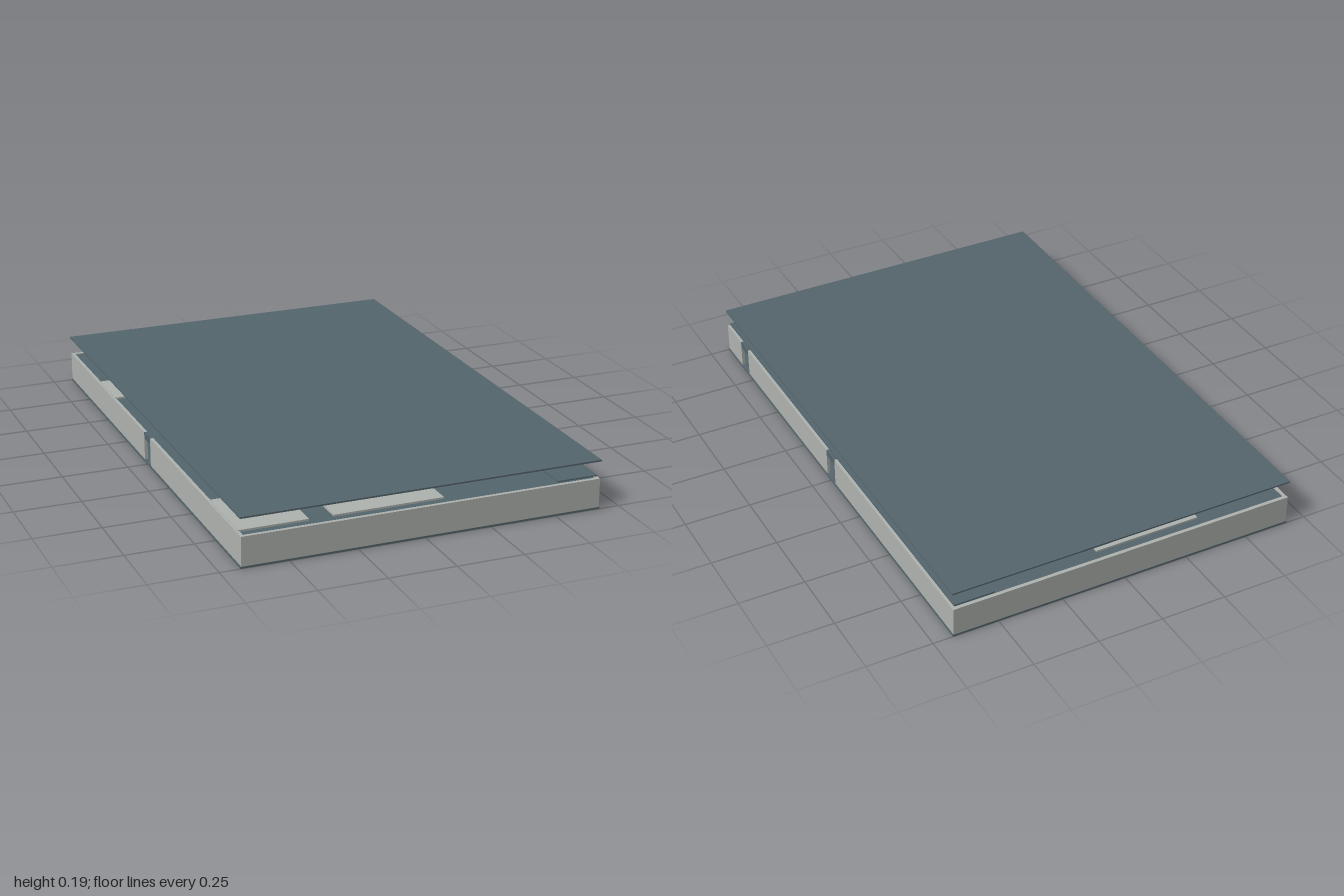
import * as THREE from 'three';

export function createModel() {
  const model = new THREE.Group();
  const slate = new THREE.MeshStandardMaterial({ color: 0x55666d });
  slate.name = 'slate slab';
  const concrete = new THREE.MeshStandardMaterial({ color: 0xb0b4b0 });
  concrete.name = 'concrete wall';

  // Box given by its lower and upper corners
  function box(name, mat, x0, x1, y0, y1, z0, z1) {
    const mesh = new THREE.Mesh(new THREE.BoxGeometry(x1 - x0, y1 - y0, z1 - z0), mat);
    mesh.position.set((x0 + x1) / 2, (y0 + y1) / 2, (z0 + z1) / 2);
    mesh.name = name;
    model.add(mesh);
    return mesh;
  }

  const W = 0.675, L = 1, T = 0.015, wallTop = 0.115;

  // Full-size slabs
  box('groundSlab', slate, -W, W, 0, 0.007, -L, L);
  box('upperFloor', slate, -W + T, W - T, 0.104, 0.111, -L + T, L - T);
  box('roof', slate, -W, W, 0.18, 0.186, -L, L);

  // Plain end walls
  box('frontWall', concrete, -W + 0.003, W - 0.003, 0.007, wallTop, L - T, L - 0.001);
  box('backWall', concrete, -W + 0.003, W - 0.003, 0.007, wallTop, -L + 0.001, -L + T);

  // Side walls, broken by doorways with slate lintels
  function sideWall(name, side, doors) {
    const xs = [side * (W - T), side * (W - 0.003)].sort((a, b) => a - b);
    let z = -L + T;
    for (const [a, b] of doors) {
      box(name, concrete, ...xs, 0.007, wallTop, z, a);
      box('doorLintel', slate, ...xs, 0.09, wallTop, a, b);
      z = b;
    }
    box(name, concrete, ...xs, 0.007, wallTop, z, L - T);
  }
  sideWall('rightWall', 1, [[-0.035, 0.035], [0.79, 0.86]]);
  sideWall('leftWall', -1, [[-0.035, 0.035]]);

  // Inner partitions and steps behind the doorways
  for (const s of [-1, 1]) {
    box('partition', concrete, s * 0.45 - 0.01, s * 0.45 + 0.01, 0.007, 0.104, -L + T, L - T);
    box('doorStep', slate, s * 0.6 - 0.04, s * 0.6 + 0.04, 0.007, 0.03, -0.035, 0.035);
  }

  // Pale panels on the upper floor
  for (const s of [-1, 1]) {
    const zs = [s * 0.67, s * 0.95].sort((a, b) => a - b);
    box('floorPanel', concrete, -0.32, 0.09, 0.111, 0.118, ...zs);
  }
  box('cornerPanel', concrete, -0.665, -0.41, 0.111, 0.118, 0.67, 0.95);
  box('sidePanel', concrete, -0.665, -0.41, 0.111, 0.118, -0.62, -0.42);

  // Raised walkway along the right side
  box('walkway', slate, 0.51, 0.665, 0.122, 0.127, -0.99, 0.99);
  for (const z of [-0.62, 0, 0.62]) {
    box('walkwayPost', concrete, 0.567, 0.605, 0.111, 0.122, z - 0.02, z + 0.02);
  }

  // Central room with chamfered corners
  function octagon(x0, x1, z, c) {
    return [
      [x0 + c, -z], [x1 - c, -z], [x1, -z + c], [x1, z - c],
      [x1 - c, z], [x0 + c, z], [x0, z - c], [x0, -z + c],
    ].map(([x, y]) => new THREE.Vector2(x, y));
  }
  function prism(name, mat, shape, y, depth) {
    const geo = new THREE.ExtrudeGeometry(shape, { depth, bevelEnabled: false });
    geo.rotateX(-Math.PI / 2);
    const mesh = new THREE.Mesh(geo, mat);
    mesh.position.y = y;
    mesh.name = name;
    model.add(mesh);
  }
  const outline = octagon(-0.3, 0.495, 0.56, 0.175);
  const walls = new THREE.Shape(outline);
  walls.holes.push(new THREE.Path(octagon(-0.285, 0.48, 0.545, 0.169)));
  prism('roomWalls', concrete, walls, 0.111, 0.053);
  prism('roomCap', slate, new THREE.Shape(outline), 0.164, 0.007);

  // Room doors
  box('roomFrontDoor', slate, 0.17, 0.24, 0.111, 0.164, 0.555, 0.563);
  box('roomSideDoor', slate, 0.49, 0.498, 0.111, 0.164, -0.05, 0.055);

  return model;
}
